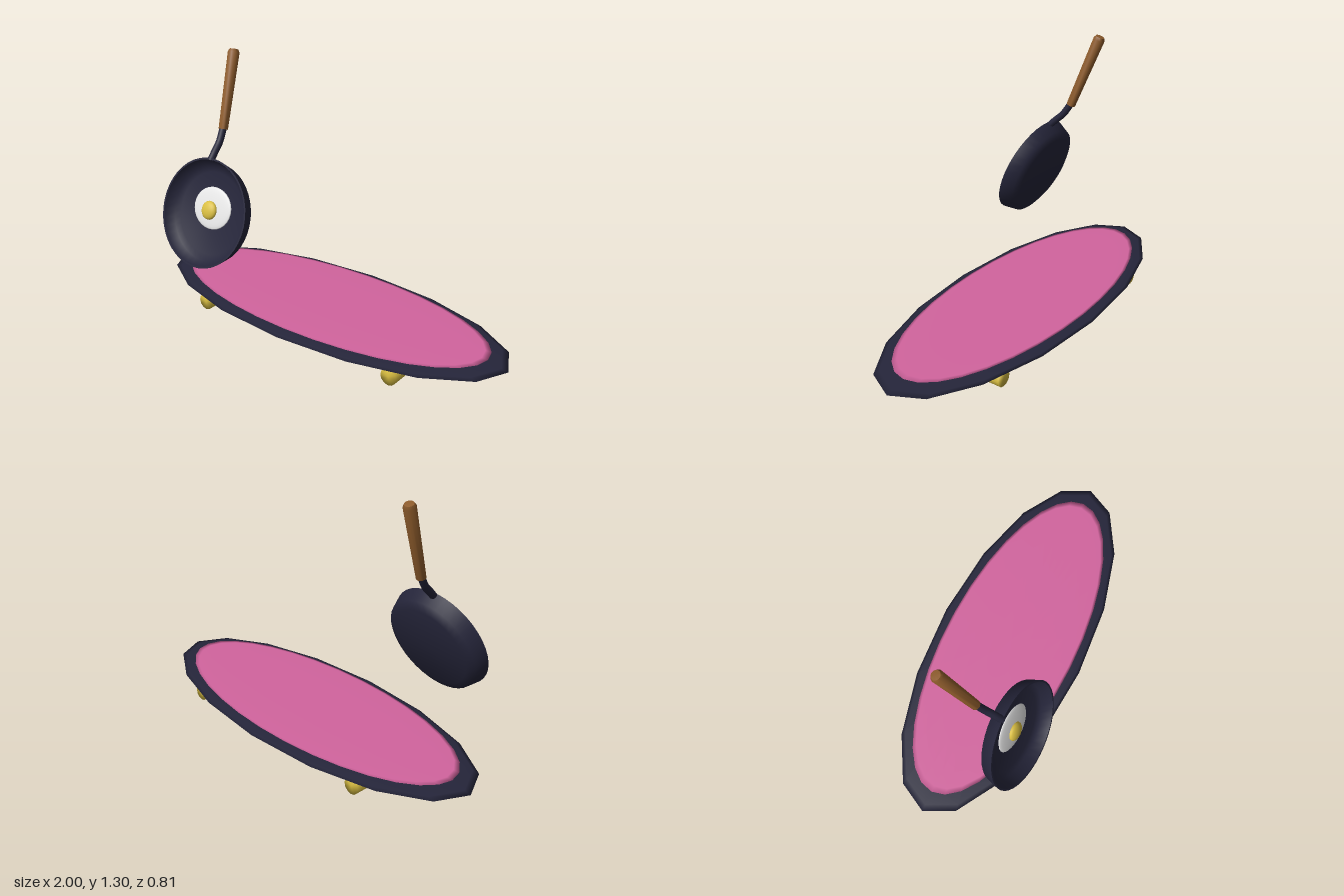
import * as THREE from 'three';
import { mergeVertices, toCreasedNormals } from 'three/addons/utils/BufferGeometryUtils.js';

const mat = (name, color) => {
  const m = new THREE.MeshStandardMaterial({ color });
  m.name = name;
  return m;
};
const v2 = (list) => list.map(([x, y]) => new THREE.Vector2(x, y));
const v3 = (x, y, z) => new THREE.Vector3(x, y, z);

export function createModel() {
  const root = new THREE.Group();
  root.name = 'boardAndPan';
  const navy = mat('navy', 0x25253a);
  const pink = mat('pink', 0xd2649e);
  const yellow = mat('yellow', 0xd9be42);
  const wood = mat('wood', 0x8b5a2b);
  const white = mat('white', 0xf0f0f0);

  const add = (parent, name, geometry, material, x = 0, y = 0, z = 0) => {
    const mesh = new THREE.Mesh(geometry, material);
    mesh.name = name;
    mesh.position.set(x, y, z);
    parent.add(mesh);
    return mesh;
  };
  // flattened ball used for deck, grip and egg
  const ellipsoid = (rx, ry, rz, w, h) => new THREE.SphereGeometry(1, w, h).scale(rx, ry, rz);

  // Skateboard deck and grip
  const board = new THREE.Group();
  board.name = 'skateboard';
  root.add(board);
  add(board, 'deck', ellipsoid(1, 0.023, 0.397, 16, 12), navy, 0, 0.088, -0.01);
  add(board, 'grip', ellipsoid(0.897, 0.004, 0.345, 32, 12), pink, 0, 0.111, -0.01);

  // Wheels, softly shaded across the end caps
  let wheel = new THREE.CylinderGeometry(0.042, 0.042, 0.08, 12).rotateX(Math.PI / 2);
  wheel.deleteAttribute('normal');
  wheel.deleteAttribute('uv');
  wheel = mergeVertices(wheel);
  wheel.computeVertexNormals();
  for (const x of [-0.565, 0.565]) {
    for (const z of [0.245, -0.256]) add(board, 'wheel', wheel, yellow, x, 0.042, z);
  }

  // Pan: local y points out of the open side
  const pan = new THREE.Group();
  pan.name = 'fryingPan';
  pan.position.set(-0.52, 0.56, 0.315);
  pan.rotation.x = THREE.MathUtils.degToRad(70);
  root.add(pan);
  const bowl = new THREE.LatheGeometry(v2([
    [0, -0.085], [0.209, -0.085], [0.249, -0.067], [0.271, 0],
    [0.262, 0], [0.238, -0.052], [0.205, -0.062], [0, -0.062],
  ]), 40);
  add(pan, 'bowl', toCreasedNormals(bowl, 0.95), navy);
  add(pan, 'eggWhite', ellipsoid(0.122, 0.012, 0.105, 28, 12), white, 0.007, -0.056, -0.028);
  add(pan, 'yolk', ellipsoid(0.047, 0.022, 0.047, 20, 12), yellow, 0, -0.042, -0.015);

  // Bent metal neck
  const neck = new THREE.CatmullRomCurve3([
    v3(-0.545, 0.795, 0.22), v3(-0.55, 0.83, 0.185), v3(-0.556, 0.87, 0.142), v3(-0.566, 0.94, 0.097),
  ]);
  add(root, 'handleNeck', new THREE.TubeGeometry(neck, 10, 0.018, 10), navy);

  // Wooden grip with a bevelled end
  const start = v3(-0.565, 0.925, 0.102);
  const end = v3(-0.603, 1.293, -0.037);
  const axis = end.clone().sub(start);
  const len = axis.length();
  const grip = new THREE.LatheGeometry(v2([
    [0, 0], [0.023, 0], [0.029, len - 0.014], [0.022, len], [0, len + 0.003],
  ]), 16);
  const handle = add(root, 'woodenHandle', toCreasedNormals(grip, 0.8), wood);
  handle.position.copy(start);
  handle.quaternion.setFromUnitVectors(v3(0, 1, 0), axis.normalize());

  return root;
}
